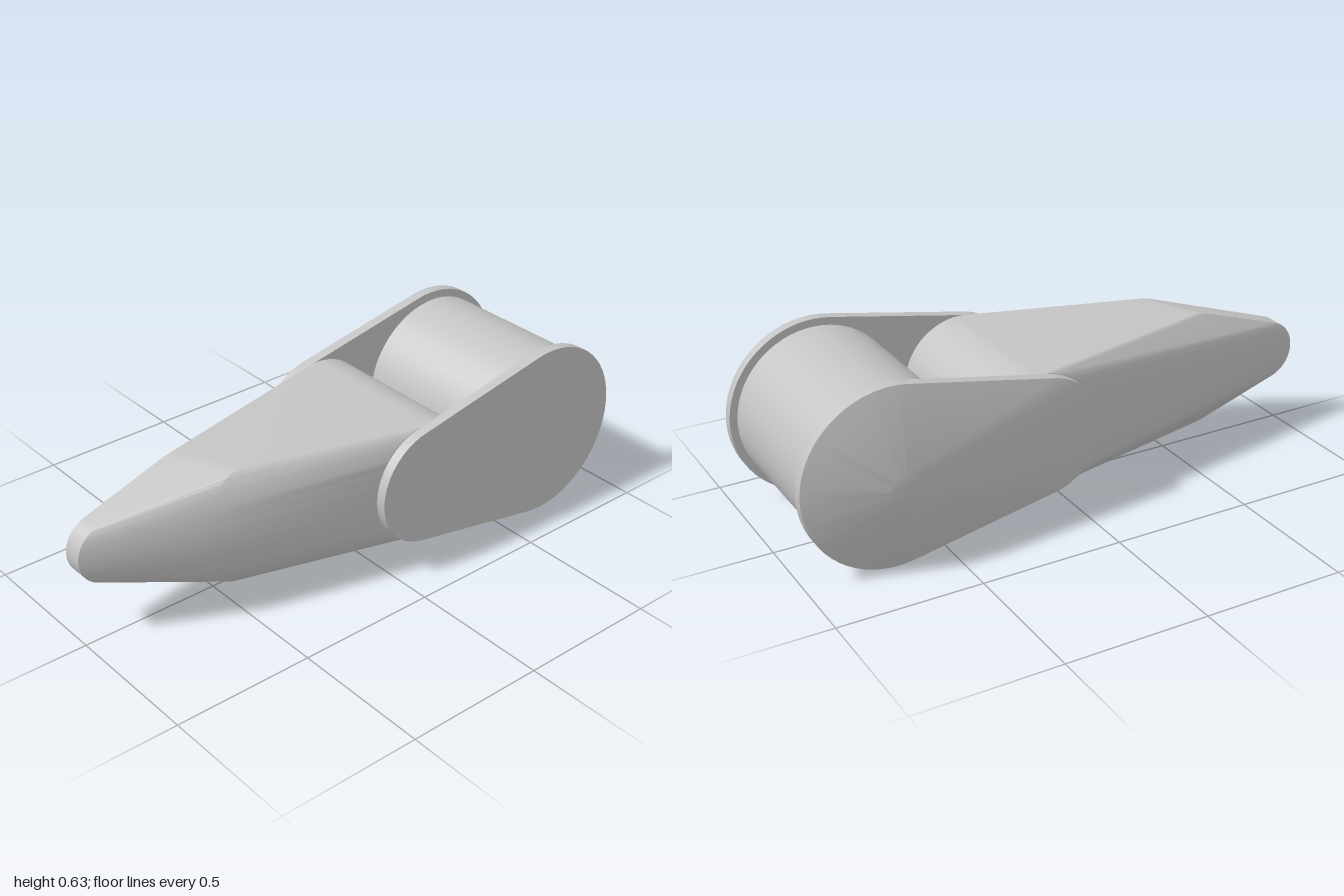
import * as THREE from 'three';
import { toCreasedNormals } from 'three/addons/utils/BufferGeometryUtils.js';
import { ConvexGeometry } from 'three/addons/geometries/ConvexGeometry.js';

const MID = 0.315; // height of the shared centre line
const grey = new THREE.MeshStandardMaterial({ color: 0xc4c4c4 });
grey.name = 'plain grey';

// Circle of points facing z
function ring(x, z, r, n = 64) {
  return Array.from({ length: n }, (_, i) => {
    const a = (i / n) * Math.PI * 2;
    return new THREE.Vector3(x + r * Math.cos(a), MID + r * Math.sin(a), z);
  });
}

// Smooth skin stretched around sets of points
function skin(name, ...sets) {
  const geometry = new ConvexGeometry(sets.flat());
  const mesh = new THREE.Mesh(toCreasedNormals(geometry, 0.35), grey);
  mesh.name = name;
  return mesh;
}

// Teardrop outline shared by both side plates
const outline = (z) => [...ring(0.15, z, 0.212), ...ring(0.685, z, 0.315)];

export function createModel() {
  const model = new THREE.Group();
  model.name = 'armLink';

  // Side plates, the rear one with a shallow off-centre cone
  model.add(skin('frontPlate', outline(0.325), outline(0.361)));
  model.add(skin('rearPlate', outline(-0.236), outline(-0.273)));
  model.add(skin('rearCone', outline(-0.273), ring(0.685, -0.361, 0.052)));

  // Drum between the plates
  const drum = new THREE.Mesh(new THREE.CylinderGeometry(0.288, 0.288, 0.556, 64), grey);
  drum.name = 'drum';
  drum.rotation.x = Math.PI / 2;
  drum.position.set(0.685, MID, 0.048);
  model.add(drum);

  // Tapering arm: round hinge end, slanted shoulder, small rounded tip
  const shoulder = Array.from({ length: 25 }, (_, i) => {
    const a = (i / 24 - 0.5) * Math.PI;
    return new THREE.Vector3(-0.47 - 0.17 * Math.cos(a), MID + 0.213 * Math.sin(a), 0.14 + 0.03 * Math.cos(a));
  });
  model.add(skin('taperedArm',
    ring(0.148, -0.236, 0.213), ring(0.148, 0.325, 0.213),
    ring(-0.56, -0.07, 0.213), shoulder,
    ring(-0.89, -0.07, 0.11), ring(-0.89, 0, 0.11)));

  return model;
}
